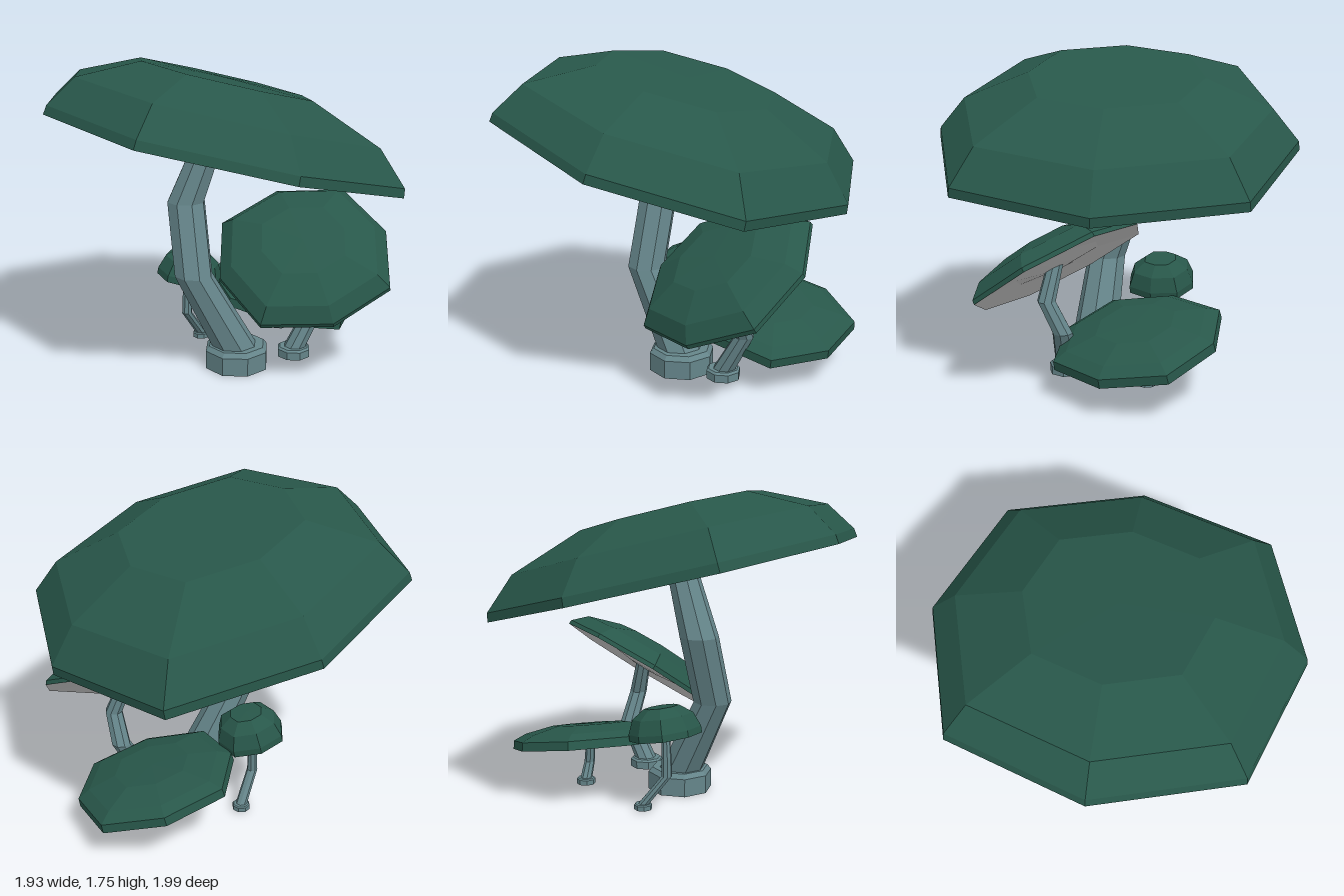
import * as THREE from 'three';

const SIDES = 8;
const V = (x, y, z) => new THREE.Vector3(x, y, z);

const material = (color) => new THREE.MeshStandardMaterial({ color, flatShading: true, side: THREE.DoubleSide });
const capMaterial = material(0x28574a);
const stemMaterial = material(0x65858a);
const gillMaterial = material(0xcccccc);

// Joins octagonal rings {c: centre, r: radius}; odd corners reach out by oddScale
function loft(rings, normal, start, oddScale = 1) {
  const n = normal.clone().normalize();
  const u = start.clone().addScaledVector(n, -start.dot(n)).normalize();
  const w = n.clone().cross(u);
  const point = ({ c, r }, i) => {
    const t = (i % SIDES) / SIDES * Math.PI * 2;
    const reach = i % 2 ? r * oddScale : r;
    return c.clone().addScaledVector(u, reach * Math.cos(t)).addScaledVector(w, reach * Math.sin(t));
  };
  const pos = [];
  const add = (...pts) => pts.forEach((p) => pos.push(p.x, p.y, p.z));
  for (let k = 0; k < rings.length - 1; k++) {
    const lo = rings[k], hi = rings[k + 1];
    for (let i = 0; i < SIDES; i++) {
      if (lo.r > 0) add(point(lo, i), point(lo, i + 1), point(hi, i + 1));
      if (hi.r > 0) add(point(lo, i), point(hi, i + 1), point(hi, i));
    }
  }
  const geometry = new THREE.BufferGeometry();
  geometry.setAttribute('position', new THREE.Float32BufferAttribute(pos, 3));
  geometry.computeVertexNormals();
  return geometry;
}

function mesh(name, geometry, mat) {
  const m = new THREE.Mesh(geometry, mat);
  m.name = name;
  return m;
}

// Profiles as [radius, height, sideways drift], relative to the cap radius
const GILLS = [[0, 0.01], [0.18, 0.015], [0.5, 0.055], [1, 0]];
const LARGE_CAP = [[1, 0], [0.993, 0.05], [0.85, 0.22, -0.03], [0.485, 0.372, -0.06], [0, 0.38, -0.06]];
const TILTED_CAP = [[1, 0], [0.995, 0.05], [0.85, 0.2], [0.485, 0.325], [0, 0.33]];
const LOW_CAP = [[1, 0], [0.99, 0.11], [0.83, 0.19], [0.47, 0.275], [0, 0.28]];
const DOME_CAP = [[1, 0], [1, 0.2], [0.84, 0.62], [0.48, 0.89], [0, 0.9]];

function makeCap({ centre, normal, start, radius, profile }) {
  const n = normal.clone().normalize();
  const drift = V(n.x, 0, n.z).addScaledVector(n, -(n.x * n.x + n.z * n.z)).normalize();
  const rings = (list) => list.map(([r, h, d = 0]) => ({
    c: centre.clone().addScaledVector(n, h * radius).addScaledVector(drift, d * radius),
    r: r * radius,
  }));
  return [
    mesh('capTop', loft(rings(profile), n, start, 1.065), capMaterial),
    mesh('capUnderside', loft(rings(GILLS), n, start, 1.065), gillMaterial),
  ];
}

// Bent stem through horizontal rings [x, y, z, radius], standing on a bevelled foot
function makeStem({ foot, path }) {
  const up = V(0, 1, 0), start = V(1, 0, 0);
  const [x, y, z, r, h] = foot;
  const ring = (radius, dy) => ({ c: V(x, y + dy, z), r: radius });
  const footRings = [
    ring(0, h * 0.25), ring(r * 0.6, h * 0.25), ring(r * 0.68, 0), ring(r, 0),
    ring(r, h * 0.8), ring(r * 0.88, h), ring(0, h),
  ];
  const stemRings = path.map(([px, py, pz, pr]) => ({ c: V(px, py, pz), r: pr }));
  return [
    mesh('stemFoot', loft(footRings, up, start), stemMaterial),
    mesh('stem', loft(stemRings, up, start), stemMaterial),
  ];
}

const MUSHROOMS = [
  {
    name: 'largeMushroom',
    cap: { centre: V(0, 1.25, 0), normal: V(0.26, 1, -0.035), start: V(0.96, -0.25, -0.05), radius: 0.995, profile: LARGE_CAP },
    stem: {
      foot: [0.07, 0, 0.115, 0.184, 0.13],
      path: [[0.07, 0.1, 0.115, 0.13], [-0.175, 0.56, 0.09, 0.108], [-0.175, 0.95, -0.04, 0.108], [-0.02, 1.36, -0.01, 0.083]],
    },
  },
  {
    name: 'tiltedMushroom',
    cap: { centre: V(0.425, 0.64, 0.225), normal: V(-0.26, 0.82, 0.51), start: V(0, -0.265, 0.425), radius: 0.488, profile: TILTED_CAP },
    stem: {
      foot: [0.385, 0.05, 0.2, 0.095, 0.055],
      path: [[0.385, 0.09, 0.2, 0.063], [0.507, 0.31, 0.195, 0.055], [0.507, 0.48, 0.28, 0.05], [0.43, 0.7, 0.24, 0.042]],
    },
  },
  {
    name: 'lowMushroom',
    cap: { centre: V(0.47, 0.265, -0.21), normal: V(0.2, 1, 0.15), start: V(0.945, 0, 0.326), radius: 0.44, profile: LOW_CAP },
    stem: {
      foot: [0.475, 0.042, -0.25, 0.054, 0.035],
      path: [[0.475, 0.07, -0.25, 0.034], [0.49, 0.16, -0.2, 0.03], [0.47, 0.31, -0.21, 0.026]],
    },
  },
  {
    name: 'smallMushroom',
    cap: { centre: V(-0.1, 0.42, -0.245), normal: V(0.2, 1, 0.03), start: V(0.98, 0, 0.2), radius: 0.187, profile: DOME_CAP },
    stem: {
      foot: [0, 0.01, -0.32, 0.05, 0.032],
      path: [[0, 0.035, -0.32, 0.032], [-0.11, 0.2, -0.25, 0.03], [-0.11, 0.3, -0.25, 0.027], [-0.1, 0.45, -0.245, 0.022]],
    },
  },
];

export function createModel() {
  const model = new THREE.Group();
  model.name = 'mushroomCluster';
  for (const { name, cap, stem } of MUSHROOMS) {
    const mushroom = new THREE.Group();
    mushroom.name = name;
    mushroom.add(...makeCap(cap), ...makeStem(stem));
    model.add(mushroom);
  }
  return model;
}
